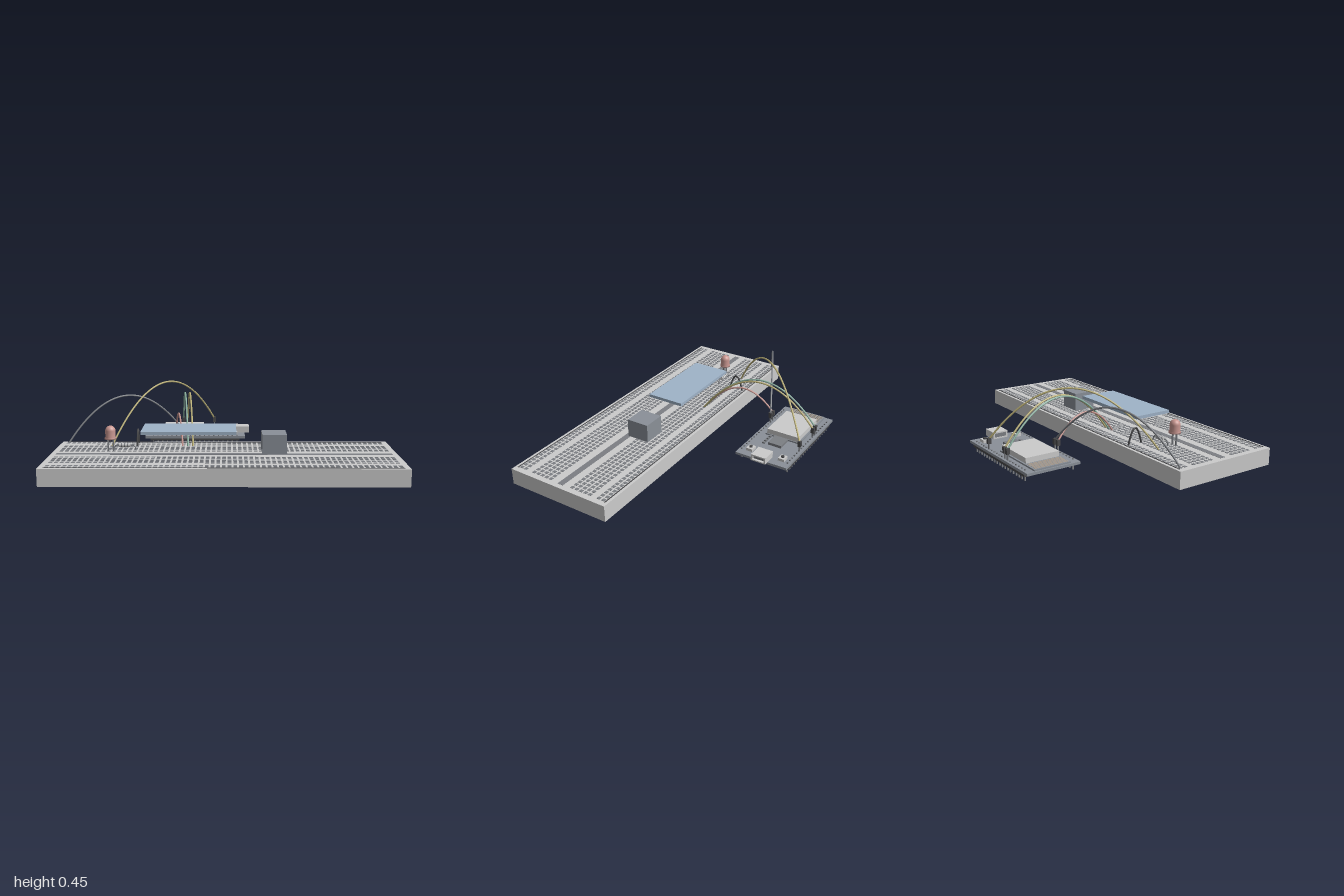
import * as THREE from 'three';
import { mergeGeometries } from 'three/addons/utils/BufferGeometryUtils.js';

const mat = (color) => new THREE.MeshStandardMaterial({ color });
const GREY = mat(0xcccccc), DARK = mat(0x7c7f84), BLACK = mat(0x4a4a4c);
const BLUE = mat(0x9fb3c8), RED = mat(0xc89690), BOARD = mat(0x8a9098);

const PITCH = 0.0308;
const TOP = 0.1; // top of the breadboard

// box geometry from its extents
function boxGeo(x0, x1, y0, y1, z0, z1) {
  return new THREE.BoxGeometry(x1 - x0, y1 - y0, z1 - z0)
    .translate((x0 + x1) / 2, (y0 + y1) / 2, (z0 + z1) / 2);
}

function add(parent, name, geo, material) {
  const mesh = new THREE.Mesh(Array.isArray(geo) ? mergeGeometries(geo) : geo, material);
  mesh.name = name;
  parent.add(mesh);
  return mesh;
}

function group(parent, name) {
  const g = new THREE.Group();
  g.name = name;
  parent.add(g);
  return g;
}

function rod(points, radius, segments = 24) {
  const curve = new THREE.CatmullRomCurve3(points.map((p) => new THREE.Vector3(...p)));
  return new THREE.TubeGeometry(curve, segments, radius, 8, false);
}

function breadboard(root) {
  const g = group(root, 'breadboard');
  add(g, 'base', boxGeo(-1, 1, 0, TOP, -0.02, 0.645), GREY);
  add(g, 'centreGroove', boxGeo(-0.97, 0.97, TOP - 0.01, TOP + 0.001, 0.291, 0.328), DARK);
  add(g, 'railLines', [0.0, 0.625].map((z) =>
    boxGeo(-0.97, 0.97, TOP - 0.002, TOP + 0.002, z - 0.003, z + 0.003)), BLACK);

  // two power rails and two blocks of five rows
  const rows = [0.018, 0.049, 0.576, 0.607];
  for (let r = 0; r < 5; r++) rows.push(0.11 + r * PITCH, 0.388 + r * PITCH);
  const holes = [];
  for (const z of rows) {
    for (let c = -31; c <= 31; c++) {
      const x = c * PITCH;
      holes.push(boxGeo(x - 0.01, x + 0.01, TOP - 0.002, TOP + 0.0015, z - 0.01, z + 0.01));
    }
  }
  add(g, 'holes', holes, DARK);
}

function controller(root) {
  const g = group(root, 'controllerBoard');
  const y = 0.071; // upper face of the circuit board
  add(g, 'circuitBoard', boxGeo(-0.525, 0.135, 0.056, y, -0.645, -0.31), BOARD);

  // pin headers along both long edges
  for (const z of [-0.627, -0.325]) {
    add(g, 'pinHeader', boxGeo(-0.49, 0.1, 0.04, 0.056, z - 0.015, z + 0.015), BLACK);
    const pins = [];
    for (let i = -9; i <= 9; i++) {
      const x = -0.195 + i * PITCH;
      pins.push(boxGeo(x - 0.004, x + 0.004, 0.012, 0.078, z - 0.004, z + 0.004));
    }
    add(g, 'headerPins', pins, DARK);
  }

  // radio module with metal shield and antenna traces
  add(g, 'radioModule', boxGeo(-0.515, -0.14, y, 0.08, -0.595, -0.365), BOARD);
  add(g, 'metalShield', boxGeo(-0.41, -0.145, 0.08, 0.111, -0.585, -0.375), GREY);
  const traces = [];
  for (let i = 0; i < 6; i++) {
    const x = -0.505 + i * 0.015;
    traces.push(boxGeo(x, x + 0.006, 0.08, 0.082, -0.585, -0.375));
  }
  add(g, 'antennaTraces', traces, mat(0xb0a090));

  add(g, 'chip', boxGeo(-0.135, -0.04, y, 0.088, -0.522, -0.435), DARK);
  const capacitors = [];
  for (let i = 0; i < 4; i++) {
    const x = -0.135 + i * 0.028;
    capacitors.push(boxGeo(x, x + 0.016, y, 0.08, -0.414, -0.398));
  }
  add(g, 'capacitors', capacitors, DARK);

  // push buttons
  for (const z of [-0.585, -0.375]) {
    add(g, 'buttonBody', boxGeo(0.038, 0.085, y, 0.088, z - 0.02, z + 0.02), GREY);
    add(g, 'buttonCap', new THREE.CylinderGeometry(0.01, 0.01, 0.01, 16).translate(0.0615, 0.092, z), BLACK);
  }

  // socket: metal shell open towards +x, with a tongue inside
  const rect = (Path, w, h) => new Path([[-w, -h], [w, -h], [w, h], [-w, h]].map((p) => new THREE.Vector2(...p)));
  const shell = rect(THREE.Shape, 0.047, 0.0205);
  shell.holes.push(rect(THREE.Path, 0.037, 0.0125));
  const socket = new THREE.ExtrudeGeometry(shell, { depth: 0.095, bevelEnabled: false })
    .rotateY(Math.PI / 2).translate(0.07, 0.0915, -0.477);
  add(g, 'socketShell', socket, GREY);
  add(g, 'socketTongue', boxGeo(0.071, 0.15, 0.08, 0.103, -0.513, -0.441), DARK);
}

function led(root) {
  const g = group(root, 'led');
  g.position.set(-0.665, 0, 0.235);
  const profile = [[0, 0.172], [0.034, 0.172], [0.034, 0.182], [0.03, 0.182], [0.03, 0.222]];
  for (let i = 1; i <= 8; i++) {
    const a = (i / 8) * Math.PI / 2;
    profile.push([0.03 * Math.cos(a), 0.222 + 0.03 * Math.sin(a)]);
  }
  add(g, 'lens', new THREE.LatheGeometry(profile.map((p) => new THREE.Vector2(...p)), 24), RED);
  add(g, 'legs', [-0.0154, 0.0154].map((x) =>
    boxGeo(x - 0.004, x + 0.004, TOP - 0.01, 0.175, -0.004, 0.004)), DARK);
}

function resistor(root) {
  const g = group(root, 'resistor');
  const z = 0.2, y = 0.128;
  add(g, 'lead', rod([[-0.65, TOP, z], [-0.646, 0.12, z], [-0.635, y, z], [-0.585, y, z],
    [-0.54, y, z], [-0.527, 0.12, z], [-0.523, TOP, z]], 0.0035), DARK);
  add(g, 'body', new THREE.CylinderGeometry(0.013, 0.013, 0.068, 16)
    .rotateZ(Math.PI / 2).translate(-0.587, y, z), GREY);
  for (const x of [-0.605, -0.587, -0.569]) {
    add(g, 'colourBand', new THREE.CylinderGeometry(0.0136, 0.0136, 0.006, 16)
      .rotateZ(Math.PI / 2).translate(x, y, z), DARK);
  }
}

// arched wire; the peak is its height halfway along
function wire(root, name, a, b, peak, material, plug = true) {
  const g = group(root, name);
  const start = new THREE.Vector3(...a), end = new THREE.Vector3(...b);
  const control = start.clone().add(end).multiplyScalar(0.5);
  control.y = 2 * peak - (a[1] + b[1]) / 2;
  const curve = new THREE.QuadraticBezierCurve3(start, control, end);
  add(g, 'cable', new THREE.TubeGeometry(curve, 40, 0.0055, 8, false), material);
  if (plug) {
    const [x, , z] = b;
    add(g, 'plugHousing', boxGeo(x - 0.01, x + 0.01, 0.105, 0.14, z - 0.01, z + 0.01), BLACK);
    add(g, 'plugPin', boxGeo(x - 0.004, x + 0.004, 0.07, 0.106, z - 0.004, z + 0.004), DARK);
  }
}

export function createModel() {
  const root = new THREE.Group();
  root.name = 'breadboardCircuit';
  breadboard(root);
  controller(root);

  add(root, 'displayPanel', boxGeo(-0.475, 0.07, 0.222, 0.241, 0.115, 0.355), BLUE);
  add(root, 'sensorBlock', boxGeo(0.22, 0.362, TOP, 0.213, 0.163, 0.306), BOARD);
  led(root);
  resistor(root);

  const near = -0.322, far = -0.627, yellow = mat(0xbfb47a);
  wire(root, 'groundWire', [-0.957, TOP, 0.018], [-0.288, 0.13, near], 0.368, DARK);
  wire(root, 'signalWire', [-0.678, TOP, 0.11], [-0.072, 0.13, far], 0.44, yellow);
  wire(root, 'powerWire', [-0.25, TOP, 0.11], [-0.318, 0.13, near], 0.258, RED);
  wire(root, 'clockWire', [-0.218, TOP, 0.11], [-0.288, 0.13, far], 0.365, mat(0x8fb5a5));
  wire(root, 'dataWire', [-0.188, TOP, 0.11], [-0.257, 0.13, far], 0.365, yellow);
  wire(root, 'jumper', [-0.524, TOP, 0.11], [-0.524, TOP, 0.018], 0.195, BLACK, false);
  return root;
}
